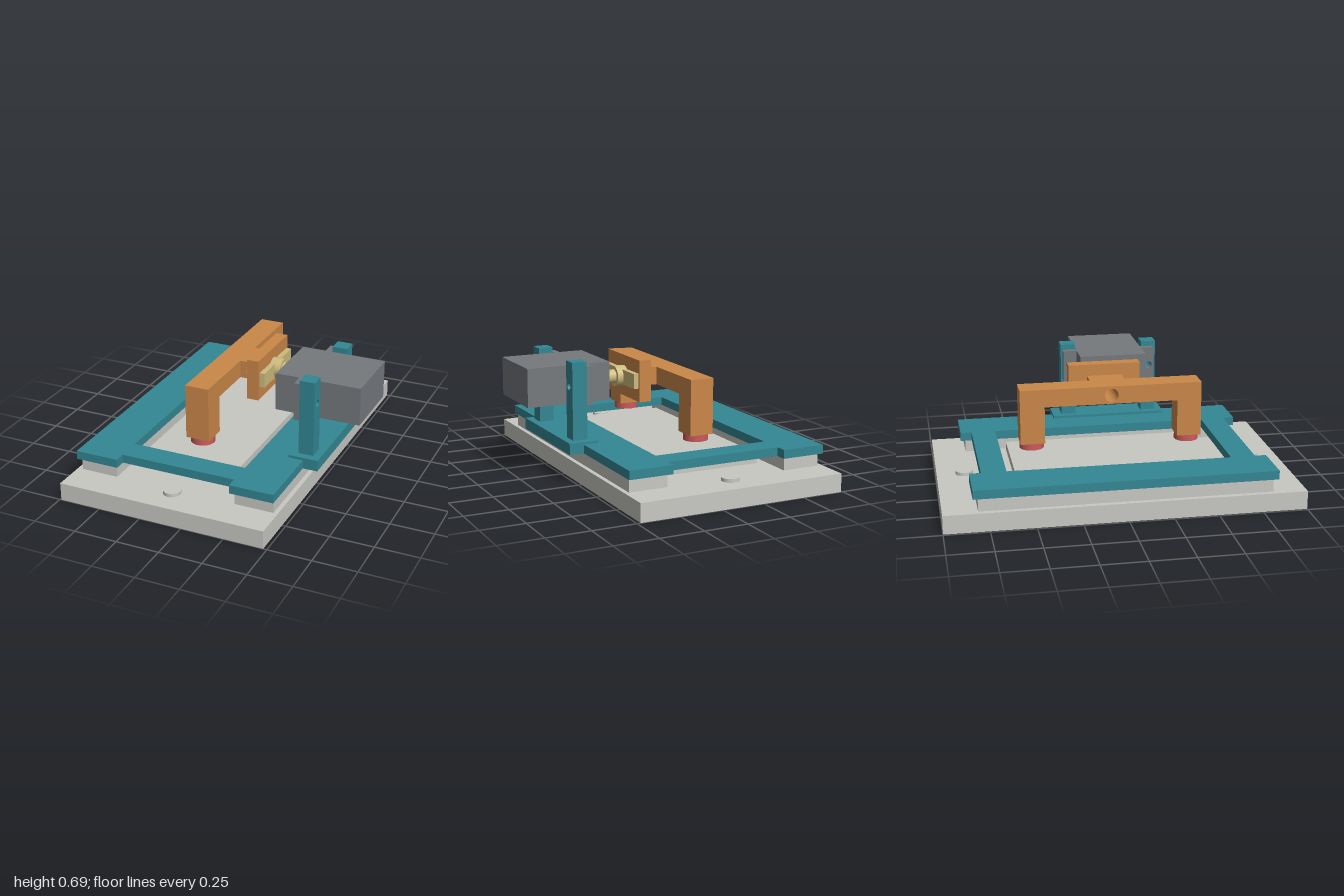
import * as THREE from 'three';

const mat = (name, color) => {
  const m = new THREE.MeshStandardMaterial({ color });
  m.name = name;
  return m;
};

export function createModel() {
  const model = new THREE.Group();
  const grey = mat('light grey', 0xc8c8c3);
  const teal = mat('teal', 0x338793);
  const orange = mat('orange', 0xca8748);
  const red = mat('red', 0xcc5a5a);
  const brass = mat('brass', 0xcdbb7e);
  const dark = mat('dark grey', 0x75797d);
  const axisY = 0.545; // height of the actuator axis

  const add = (name, geometry, material) => {
    const mesh = new THREE.Mesh(geometry, material);
    mesh.name = name;
    model.add(mesh);
    return mesh;
  };
  // Box from its limits
  const box = (name, material, x0, x1, y0, y1, z0, z1) =>
    add(name, new THREE.BoxGeometry(x1 - x0, y1 - y0, z1 - z0), material)
      .position.set((x0 + x1) / 2, (y0 + y1) / 2, (z0 + z1) / 2);
  const outline = (points) => new THREE.Shape(points.map(([a, b]) => new THREE.Vector2(a, b)));
  const circle = (a, b, r) => new THREE.Path().absarc(a, b, r, 0, Math.PI * 2, true);
  // Profile drawn in (-z, y), extruded from x0 to x1
  const extrudeX = (name, material, shape, x0, x1) => {
    const g = new THREE.ExtrudeGeometry(shape, { depth: x1 - x0, bevelEnabled: false, curveSegments: 16 });
    add(name, g.rotateY(Math.PI / 2).translate(x0, 0, 0), material);
  };
  // Upright plate with a round hole through it along x
  const drilled = (name, material, x0, x1, y0, y1, z0, z1, holeZ, r) => {
    const s = outline([[-z1, y0], [-z0, y0], [-z0, y1], [-z1, y1]]);
    s.holes.push(circle(-holeZ, axisY, r));
    extrudeX(name, material, s, x0, x1);
  };
  const rod = (name, material, x0, x1, r) =>
    add(name, new THREE.CylinderGeometry(r, r, x1 - x0, 32).rotateZ(Math.PI / 2), material)
      .position.set((x0 + x1) / 2, axisY, -0.005);

  // Base with side rails and a stepped centre bed
  box('base', grey, -0.74, 0.48, 0, 0.105, -1, 1);
  box('rightRail', grey, -0.71, -0.49, 0.105, 0.18, -0.81, 0.81);
  box('leftRail', grey, 0.23, 0.455, 0.105, 0.18, -0.81, 0.81);
  box('bedStep', grey, -0.435, 0.175, 0.105, 0.13, -0.615, 0.61);
  box('bed', grey, -0.4, 0.145, 0.13, 0.18, -0.575, 0.57);
  for (const z of [-0.843, 0.84]) {
    add('baseStud', new THREE.CylinderGeometry(0.05, 0.05, 0.02, 32), grey).position.set(-0.13, 0.115, z);
  }

  // Window frame with wide corners, drawn in (x, -z)
  const frame = outline([
    [-0.725, -0.837], [-0.47, -0.837], [-0.47, -0.772], [0.21, -0.772], [0.21, -0.837], [0.465, -0.837],
    [0.465, 0.837], [0.21, 0.837], [0.21, 0.772], [-0.47, 0.772], [-0.47, 0.837], [-0.725, 0.837],
  ]);
  frame.holes.push(outline([[-0.47, -0.632], [-0.47, 0.632], [0.21, 0.632], [0.21, -0.632]]));
  add('frame', new THREE.ExtrudeGeometry(frame, { depth: 0.05, bevelEnabled: false })
    .rotateX(-Math.PI / 2).translate(0, 0.18, 0), teal);

  // Actuator bracket: foot and two drilled posts
  box('bracketFoot', teal, 0.38, 0.55, 0.18, 0.245, -0.255, 0.427);
  drilled('backPost', teal, 0.42, 0.507, 0.245, 0.685, -0.202, -0.115, -0.15, 0.021);
  drilled('frontPost', teal, 0.42, 0.507, 0.245, 0.685, 0.295, 0.383, 0.335, 0.021);

  // Actuator body with mounting ears
  box('actuatorBody', dark, 0.24, 0.735, 0.435, 0.655, -0.11, 0.287);
  drilled('backEar', dark, 0.38, 0.415, 0.435, 0.655, -0.192, -0.11, -0.15, 0.021);
  drilled('frontEar', dark, 0.38, 0.415, 0.435, 0.655, 0.287, 0.365, 0.335, 0.021);

  // Output shaft, hub and horn
  rod('shaft', brass, 0.165, 0.24, 0.04);
  rod('hub', brass, 0.1, 0.165, 0.06);
  box('horn', brass, 0.1, 0.13, 0.502, 0.588, -0.198, 0.19);

  // Swinging arm: bored two-legged yoke, stem and mounting plate
  const yoke = outline([
    [-0.523, 0.28], [-0.383, 0.28], [-0.383, 0.495], [0.383, 0.495],
    [0.383, 0.28], [0.523, 0.28], [0.523, 0.598], [-0.523, 0.598],
  ]);
  yoke.holes.push(circle(0, axisY, 0.04));
  extrudeX('yoke', orange, yoke, -0.2, -0.06);
  drilled('stem', orange, -0.06, -0.025, 0.495, 0.598, -0.104, 0.1, 0, 0.04);
  // Stem end with a slot opening the bore to the front
  const slot = outline([
    [-0.1, axisY + 0.02], [-0.1, 0.598], [0.104, 0.598], [0.104, 0.495], [-0.1, 0.495], [-0.1, axisY - 0.02],
  ]);
  slot.absarc(0, axisY, 0.04, Math.PI * 7 / 6, Math.PI * 17 / 6, false);
  extrudeX('slottedStem', orange, slot, -0.025, 0.03);
  box('armPlate', orange, 0.03, 0.1, 0.425, 0.665, -0.212, 0.208);

  // Round tips under the legs
  for (const z of [-0.453, 0.453]) {
    add('legTip', new THREE.CylinderGeometry(0.07, 0.07, 0.04, 32), red).position.set(-0.13, 0.262, z);
  }
  return model;
}
